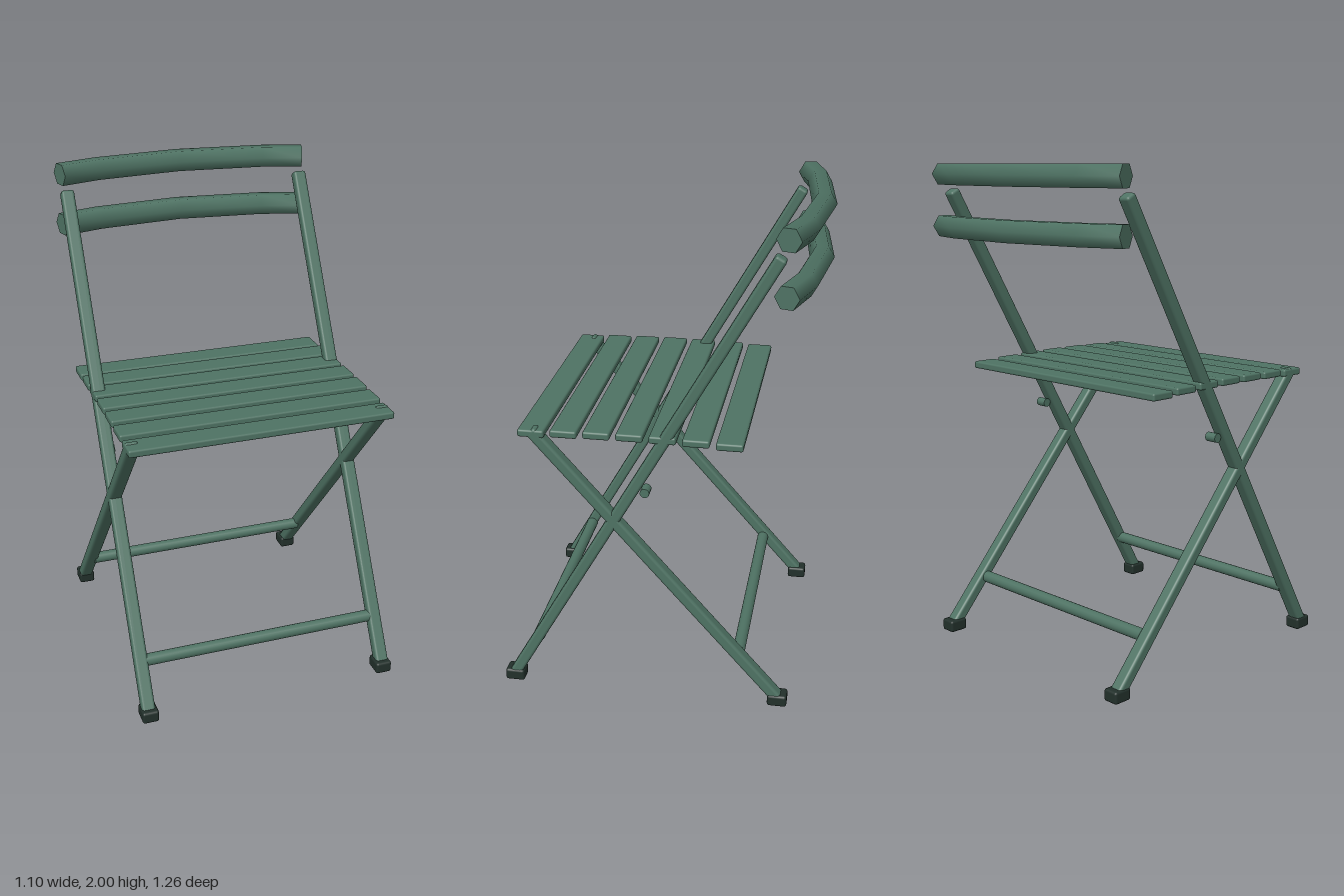
import * as THREE from 'three';
import { mergeVertices } from 'three/addons/utils/BufferGeometryUtils.js';
import { RoundedBoxGeometry } from 'three/addons/geometries/RoundedBoxGeometry.js';

const green = new THREE.MeshStandardMaterial({ color: 0x4e7263 });
green.name = 'paintedGreen';
const dark = new THREE.MeshStandardMaterial({ color: 0x22302b });
dark.name = 'darkRubber';

const LEG_X = 0.513;

function add(parent, name, geometry, material, x, y, z) {
  const mesh = new THREE.Mesh(geometry, material);
  mesh.name = name;
  mesh.position.set(x, y, z);
  parent.add(mesh);
  return mesh;
}

// Straight bar in the side plane between two [y, z] points
function addBar(parent, name, x, [y0, z0], [y1, z1]) {
  const length = Math.hypot(y1 - y0, z1 - z0);
  const geometry = new RoundedBoxGeometry(0.055, length, 0.046, 2, 0.012);
  const bar = add(parent, name, geometry, green, x, (y0 + y1) / 2, (z0 + z1) / 2);
  bar.rotation.x = Math.atan2(z1 - z0, y1 - y0);
}

// Six-sided rail bowed backwards: each ring is moved onto a station of the path
function railGeometry() {
  const path = [[-0.535, -0.494], [-0.365, -0.545], [0, -0.585], [0.365, -0.545], [0.535, -0.494]];
  const slopes = [-0.3, -0.2, 0, 0.2, 0.3];
  const geometry = new THREE.CylinderGeometry(0.049, 0.049, 4, 6, 4, false, Math.PI);
  geometry.rotateZ(Math.PI / 2);
  geometry.deleteAttribute('uv');
  const rail = mergeVertices(geometry);
  const p = rail.attributes.position;
  for (let i = 0; i < p.count; i++) {
    const k = Math.round(p.getX(i) + 2);
    const angle = Math.atan(slopes[k]);
    const z = p.getZ(i);
    p.setX(i, path[k][0] - z * Math.sin(angle));
    p.setZ(i, path[k][1] + z * Math.cos(angle));
  }
  rail.computeVertexNormals();
  return rail;
}

export function createModel() {
  const chair = new THREE.Group();
  chair.name = 'foldingChair';

  // Crossed legs with their feet
  for (const side of [1, -1]) {
    const frame = new THREE.Group();
    frame.name = side > 0 ? 'leftLegs' : 'rightLegs';
    addBar(frame, 'frontLegAndBackPost', side * LEG_X, [0.02, 0.596], [1.892, -0.472]);
    addBar(frame, 'rearLeg', side * LEG_X, [0.02, -0.524], [1.16, 0.473]);
    for (const z of [0.588, -0.515]) {
      const foot = new RoundedBoxGeometry(0.068, 0.05, 0.08, 2, 0.01);
      add(frame, 'foot', foot, dark, side * 0.511, 0.025, z);
    }
    chair.add(frame);
  }

  // Stretchers between the legs
  for (const [name, z] of [['frontStretcher', 0.487], ['rearStretcher', -0.348]]) {
    const bar = new THREE.CylinderGeometry(0.025, 0.025, 1.0, 16);
    bar.rotateZ(Math.PI / 2);
    add(chair, name, bar, green, 0, 0.206, z);
  }

  // Seat slats on a slight crown
  const seat = new THREE.Group();
  seat.name = 'seat';
  for (let i = -3; i <= 3; i++) {
    const slat = new RoundedBoxGeometry(1.08, 0.03, 0.105, 2, 0.008);
    add(seat, 'slat', slat, green, 0, 1.16 - 0.0011 * i * i, 0.084 + i * 0.1285);
  }
  chair.add(seat);

  // Curved back rails
  const rail = railGeometry();
  add(chair, 'upperBackRail', rail, green, 0, 1.9575, 0);
  add(chair, 'lowerBackRail', rail, green, 0, 1.7475, 0);

  // Small seat stop pins behind the posts
  for (const x of [0.525, -0.5]) {
    const pin = new THREE.CylinderGeometry(0.019, 0.019, 0.05, 12);
    pin.rotateZ(Math.PI / 2);
    add(chair, 'seatStopPin', pin, green, x, 0.937, 0.023);
  }
  return chair;
}
